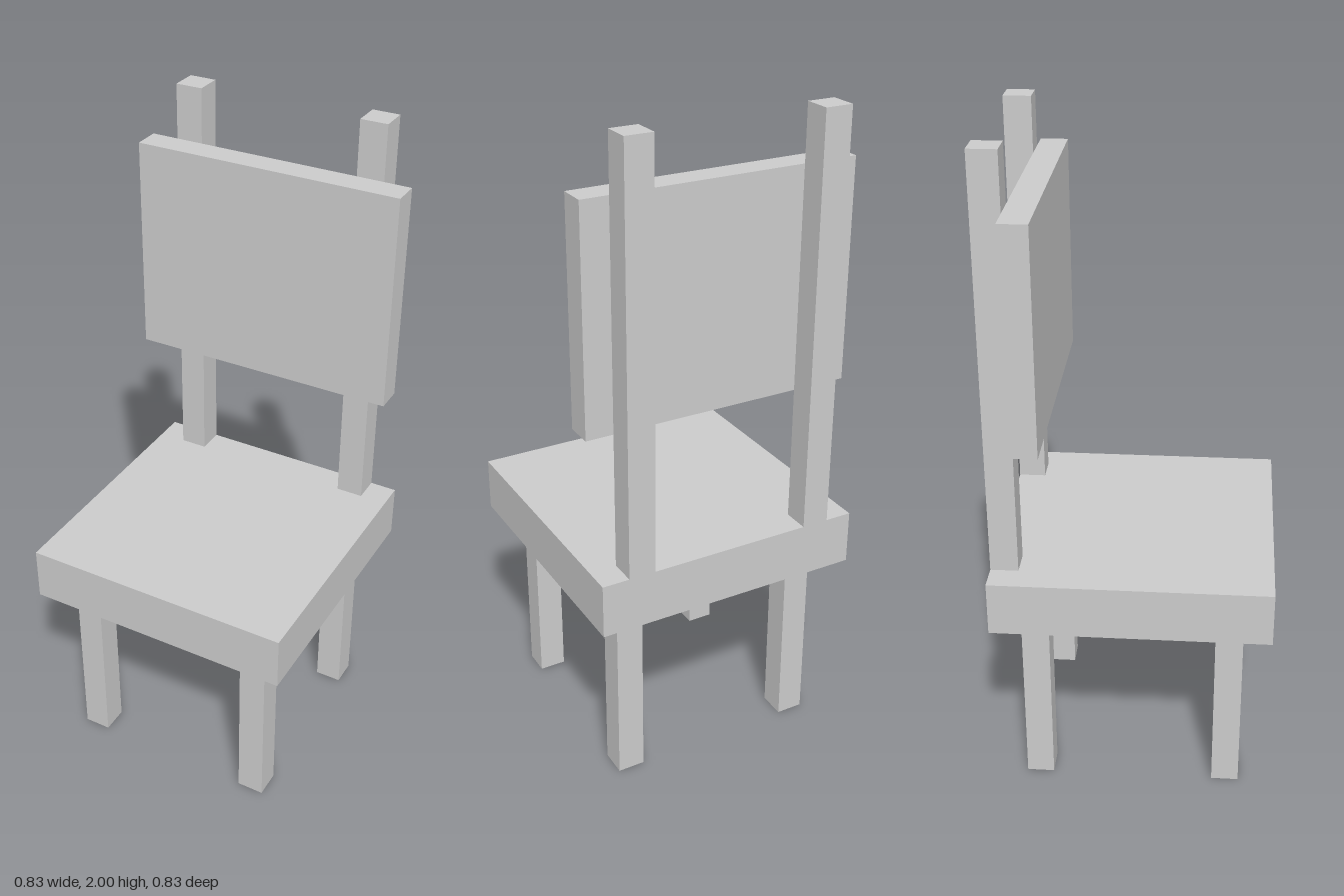
import * as THREE from 'three';

// The chair is laid out on a grid of 24 units to its full height.
const U = 2 / 24;

export function createModel() {
  const chair = new THREE.Group();
  chair.name = 'chair';
  const material = new THREE.MeshStandardMaterial({ color: 0xcccccc, flatShading: true });

  // Box with its size and the centre of its base given in grid units
  function addBox(name, [w, h, d], [x, y, z]) {
    const mesh = new THREE.Mesh(new THREE.BoxGeometry(w * U, h * U, d * U), material);
    mesh.name = name;
    mesh.position.set(x * U, (y + h / 2) * U, z * U);
    chair.add(mesh);
  }

  addBox('seat', [10, 2, 10], [0, 7, 0]);
  addBox('backPanel', [10, 8, 1], [0, 14, -3.5]);

  // Legs and back posts, mirrored left and right
  for (const [side, sign] of [['left', 1], ['right', -1]]) {
    const x = 3.5 * sign;
    addBox(side + 'FrontLeg', [1, 7, 1], [x, 0, 3.5]);
    addBox(side + 'BackLeg', [1, 7, 1], [x, 0, -3.5]);
    addBox(side + 'BackPost', [1, 15, 1], [x, 9, -4.5]);
  }

  return chair;
}
